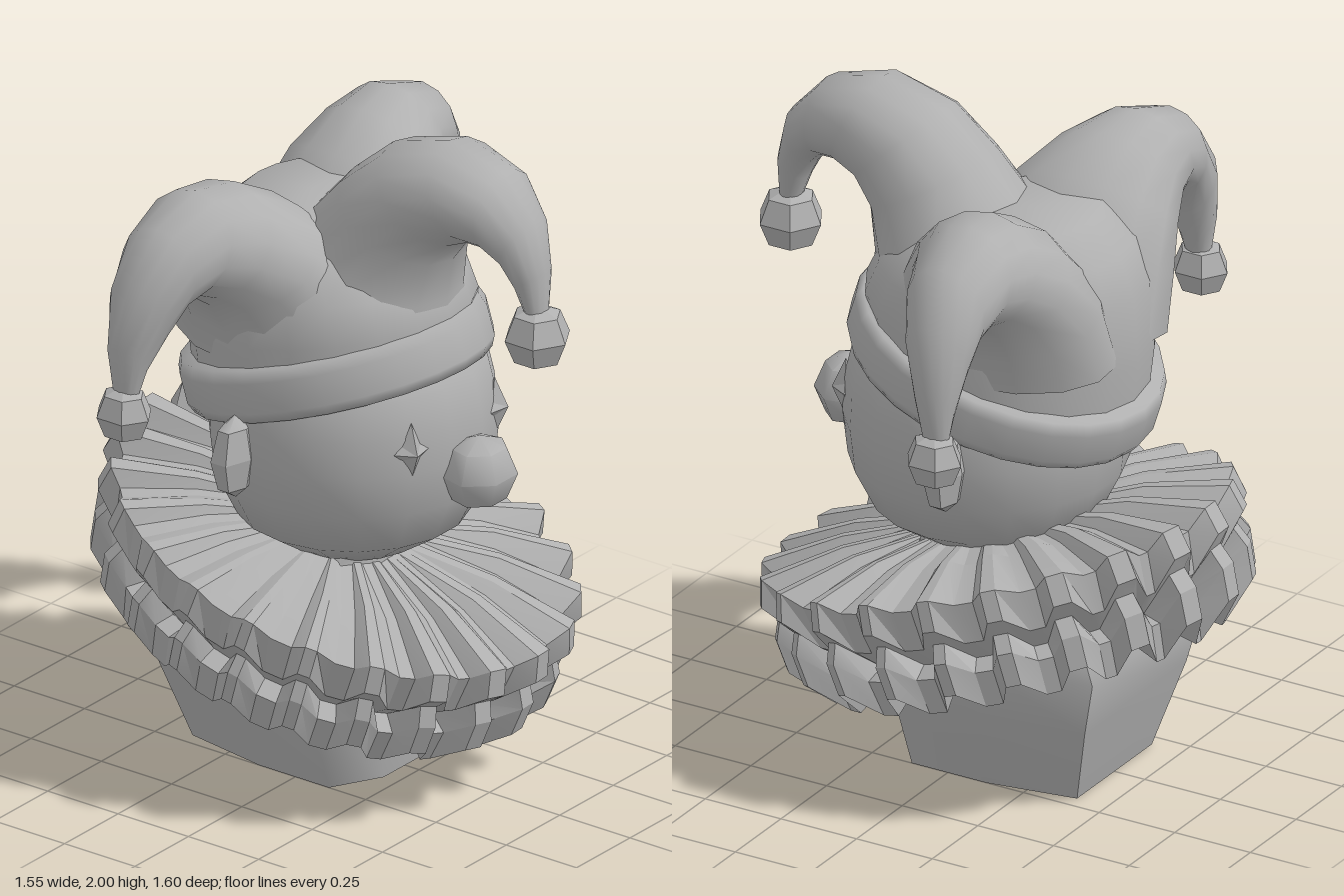
import * as THREE from 'three';
import { toCreasedNormals } from 'three/addons/utils/BufferGeometryUtils.js';

const grey = new THREE.MeshStandardMaterial({ color: 0xb0b0b0, side: THREE.DoubleSide });
grey.name = 'plain grey';

// Skin a list of closed rings of points, optionally capping both ends
function skin(rings, crease, caps = true) {
  const n = rings[0].length, pos = [], idx = [];
  rings.forEach(r => r.forEach(p => pos.push(...p)));
  for (let i = 0; i < rings.length - 1; i++) {
    for (let j = 0; j < n; j++) {
      const a = i * n + j, b = i * n + (j + 1) % n;
      idx.push(a, b, a + n, b, b + n, a + n);
    }
  }
  if (caps) {
    [0, rings.length - 1].forEach((i, end) => {
      const c = pos.length / 3;
      pos.push(...[0, 1, 2].map(k => rings[i].reduce((s, p) => s + p[k], 0) / n));
      for (let j = 0; j < n; j++) {
        const a = i * n + j, b = i * n + (j + 1) % n;
        if (end) idx.push(a, b, c); else idx.push(b, a, c);
      }
    });
  }
  const g = new THREE.BufferGeometry();
  g.setAttribute('position', new THREE.Float32BufferAttribute(pos, 3));
  g.setIndex(idx);
  return toCreasedNormals(g, crease);
}

// Elliptical sections: outer point (x, y), inner point (x, y), half width in z, shift in z
function loft(sections, sides = 14) {
  return skin(sections.map(([ax, ay, bx, by, w, shift = 0]) =>
    Array.from({ length: sides }, (_, j) => {
      const t = -j / sides * Math.PI * 2, c = Math.cos(t) / 2;
      return [(ax + bx) / 2 + (ax - bx) * c, (ay + by) / 2 + (ay - by) * c, shift + w * Math.sin(t)];
    })), 1);
}

function lathe(points, sides) {
  return new THREE.LatheGeometry(points.map(p => new THREE.Vector2(...p)), sides);
}

export function createModel() {
  const model = new THREE.Group();
  const add = (name, geometry, x = 0, y = 0, z = 0) => {
    const m = new THREE.Mesh(geometry, grey);
    m.name = name;
    m.position.set(x, y, z);
    model.add(m);
    return m;
  };

  // Bust with a flat angular base; each level: y, back x, front x, half depth
  const outline = [[-1, -0.82], [-1, 0.82], [-0.1, 1], [0.73, 1], [1, 0.4], [1, -0.4], [0.73, -1], [-0.1, -1]];
  const levels = [[0, -0.4, 0.2, 0.25], [0.25, -0.47, 0.22, 0.34], [0.42, -0.51, 0.23, 0.37],
    [0.56, -0.44, 0.2, 0.33], [0.68, -0.25, 0.18, 0.2], [0.8, -0.22, 0.18, 0.18]];
  add('torso', skin(levels.map(([y, x0, x1, w]) =>
    outline.map(([u, v]) => [(x0 + x1) / 2 + u * (x1 - x0) / 2, y, v * w])), 1.2));

  // Pleated collar: radius, height, pleat depth in radius and in height
  const profile = [[0.17, 0.2, 0, 0], [0.4, 0.19, 0, 0.012], [0.605, 0.145, 0.015, 0.02],
    [0.605, 0.04, 0.03, 0.04], [0.55, -0.02, 0.045, 0.05], [0.59, -0.06, 0.03, 0.035],
    [0.575, -0.165, 0.035, 0.04], [0.42, -0.1, 0.02, 0.03], [0.25, -0.02, 0, 0]];
  const pleats = 22, wave = [1, 1, -1, -1];
  const ruff = add('ruffledCollar', skin(profile.map(([r, h, dr, dh]) =>
    Array.from({ length: pleats * 4 }, (_, j) => {
      const t = -(j + 0.25 * Math.sin(j * 1.7)) / (pleats * 4) * Math.PI * 2;
      const s = wave[j % 4] * (1 + 0.25 * Math.sin(Math.floor(j / 4) * 7));
      const q = r + dr * s;
      return [q * 1.16 * Math.cos(t), h + dh * s, q * Math.sin(t)];
    })).reverse(), 0.4, false), -0.062, 0.53, 0);
  ruff.rotation.z = -0.3;

  // Head
  add('head', lathe([[0, 0.66], [0.2, 0.68], [0.335, 0.77], [0.4, 0.9], [0.415, 1.03],
    [0.41, 1.14], [0.385, 1.25], [0.33, 1.32], [0, 1.38]], 18), 0.015);
  const nose = add('nose', toCreasedNormals(new THREE.SphereGeometry(0.12, 7, 4), 0.9), 0.465, 0.995, 0);
  nose.scale.set(0.9, 0.93, 1);

  for (const s of [1, -1]) {
    const ear = add('ear', toCreasedNormals(new THREE.SphereGeometry(0.12, 6, 4), 0.6), -0.09, 1.04, s * 0.41);
    ear.scale.set(0.45, 1.08, 0.8);
    // Star-shaped eye made of an upright and a crosswise diamond
    for (const [h, w] of [[0.09, 0.038], [0.045, 0.055]]) {
      const eye = add('eye', new THREE.OctahedronGeometry(1), 0.37, 1.1, s * 0.195);
      eye.scale.set(0.04, h, w);
      eye.rotation.y = -s * 0.45;
    }
  }

  // Hat crown and tilted band
  add('hatCrown', loft([[-0.455, 1.1, 0.35, 1.37, 0.385], [-0.48, 1.3, 0.365, 1.45, 0.395],
    [-0.465, 1.5, 0.32, 1.54, 0.38], [-0.42, 1.62, 0.2, 1.64, 0.33], [-0.32, 1.71, 0.05, 1.71, 0.22]], 20));
  const band = add('hatBand', lathe([[0.38, -0.08], [0.455, -0.08], [0.47, -0.05], [0.47, 0.04],
    [0.455, 0.075], [0.38, 0.085]], 24), -0.045, 1.235, 0);
  band.rotation.z = 0.31;
  band.scale.z = 0.9;

  // Curled horns, each ending in a bell
  const bell = toCreasedNormals(new THREE.SphereGeometry(0.1, 6, 4), 0.4);
  add('frontHorn', loft([[-0.3, 1.42, 0.35, 1.42, 0.33], [-0.14, 1.64, 0.35, 1.5, 0.25],
    [0.02, 1.82, 0.37, 1.63, 0.21], [0.16, 1.94, 0.42, 1.7, 0.19], [0.36, 2, 0.48, 1.725, 0.17],
    [0.55, 1.95, 0.54, 1.72, 0.14], [0.66, 1.83, 0.58, 1.68, 0.1], [0.7, 1.68, 0.61, 1.62, 0.065],
    [0.7, 1.53, 0.64, 1.54, 0.035]]));
  add('frontBell', bell, 0.67, 1.475, 0);

  const sideHorn = loft([[-0.1, 1.35, 0.37, 1.3, 0.33, -0.07], [0, 1.6, 0.39, 1.4, 0.32, -0.07],
    [0.15, 1.75, 0.44, 1.5, 0.26, -0.05], [0.3, 1.83, 0.5, 1.545, 0.2, -0.03],
    [0.45, 1.85, 0.55, 1.565, 0.16, -0.01], [0.62, 1.79, 0.6, 1.53, 0.13], [0.73, 1.65, 0.635, 1.45, 0.1, 0.015],
    [0.77, 1.46, 0.67, 1.36, 0.06, 0.03], [0.75, 1.29, 0.69, 1.29, 0.035, 0.035]]);
  for (const s of [1, -1]) {
    const horn = add('sideHorn', sideHorn, -0.21, 0, 0);
    horn.rotation.y = -s * Math.PI / 2;
    horn.scale.z = s;
    const b = add('sideBell', bell, -0.245, 1.245, s * 0.73);
    b.scale.set(0.88, 0.88, 0.8);
  }
  return model;
}
